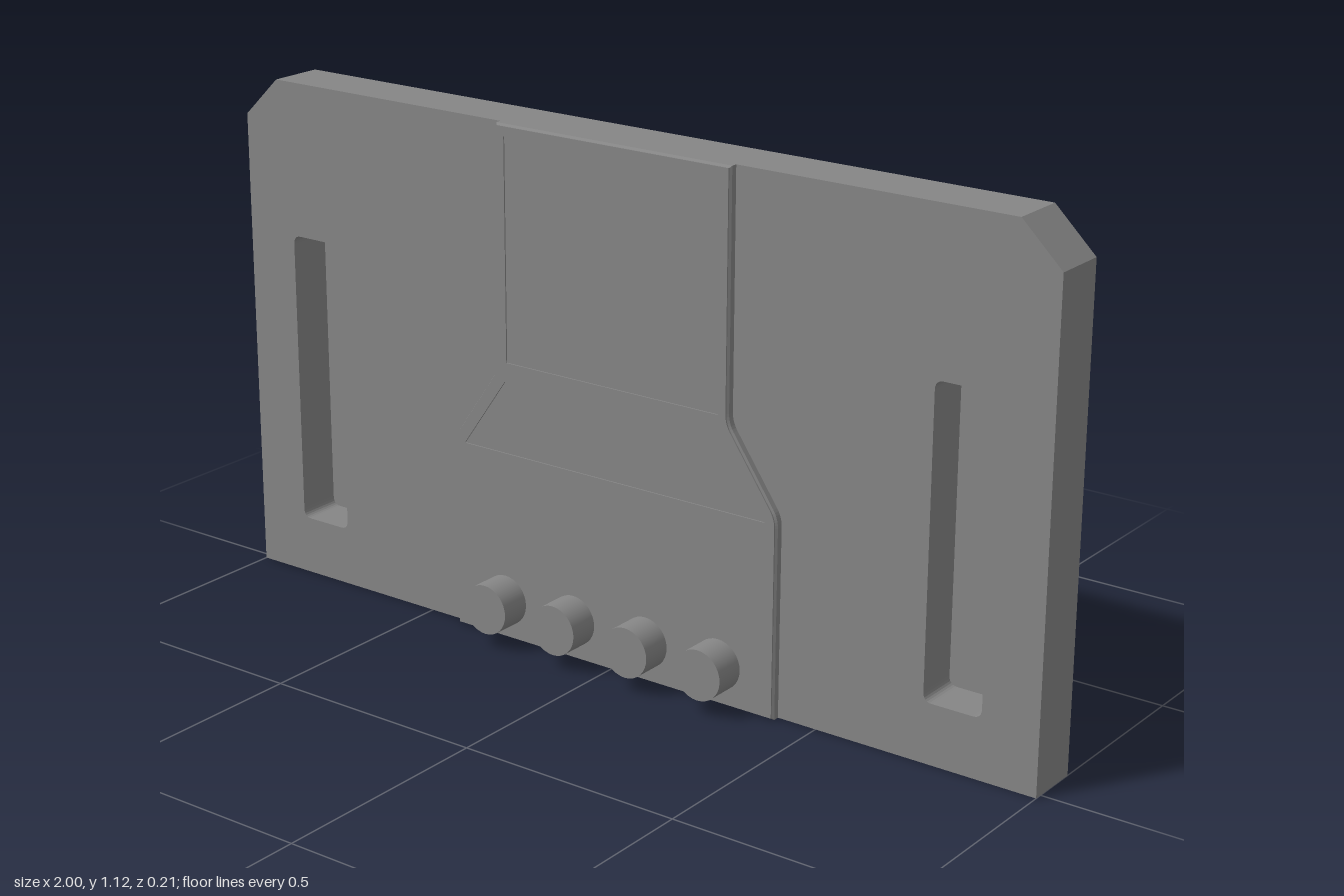
import * as THREE from 'three';

const BACK = -0.105, FRONT = 0.017, PANEL = 0.037, SLOT_FLOOR = -0.08, TOP = 1.125;
const RECESS = 0.003, CHAMFER = 0.004;

// Closed outline from points; corners with a third value are rounded by that distance
function outline(points, Type = THREE.Shape) {
  const path = new Type();
  const n = points.length;
  points.forEach(([x, y, r = 0], i) => {
    const p = new THREE.Vector2(x, y);
    const toward = (q) => new THREE.Vector2(q[0], q[1]).sub(p).setLength(r).add(p);
    const a = toward(points[(i + n - 1) % n]);
    const b = toward(points[(i + 1) % n]);
    if (i === 0) path.moveTo(a.x, a.y); else path.lineTo(a.x, a.y);
    if (r > 0) path.quadraticCurveTo(x, y, b.x, b.y);
  });
  path.closePath();
  return path;
}

// Mirror the right half (listed bottom to top) into a full outline
function symmetric(half) {
  return [...half, ...half.slice().reverse().map(([x, y, r]) => [-x, y, r])];
}

function slotPoints(side) {
  const a = side * 0.81 - 0.065, b = side * 0.81 + 0.065, r = 0.02;
  return [[a, 0.13, r], [b, 0.13, r], [b, 0.785, r], [a, 0.785, r]];
}

// Centre panel outline: narrow at the top, wide at the base
function panelPoints(inset) {
  return symmetric([
    [0.41 - inset, inset], [0.41 - inset, 0.432, 0.02],
    [0.29 - inset, 0.605, 0.02], [0.29 - inset, TOP - inset],
  ]);
}

export function createModel() {
  const group = new THREE.Group();
  const material = new THREE.MeshStandardMaterial({ color: 0x868686 });

  function add(name, geometry) {
    const mesh = new THREE.Mesh(geometry, material);
    mesh.name = name;
    group.add(mesh);
    return mesh;
  }

  // Solid between two depths, with an optional chamfered rim
  function slab(name, shape, z0, z1, bevel = 0) {
    const geometry = new THREE.ExtrudeGeometry(shape, {
      depth: z1 - z0 - 2 * bevel, curveSegments: 6,
      bevelEnabled: bevel > 0, bevelSize: bevel, bevelThickness: bevel,
      bevelOffset: -bevel, bevelSegments: 1,
    });
    geometry.translate(0, 0, z0 + bevel);
    add(name, geometry);
  }

  // Main plate with clipped upper corners and two slots
  const body = outline(symmetric([[1, 0], [1, 1.038], [0.91, TOP]]));
  for (const side of [-1, 1]) body.holes.push(outline(slotPoints(side), THREE.Path));
  slab('body', body, BACK, FRONT);

  // Slot floors close the back
  for (const side of [-1, 1]) {
    slab(side > 0 ? 'leftSlotFloor' : 'rightSlotFloor', outline(slotPoints(side)), BACK, SLOT_FLOOR);
  }

  // Raised centre panel, faced with a thin plate that leaves two shallow recesses
  slab('centrePanel', outline(panelPoints(0)), FRONT - 0.02, PANEL - RECESS, CHAMFER);
  const face = outline(panelPoints(CHAMFER));
  face.holes.push(
    outline(symmetric([[0.267, 0.62], [0.267, 1.1]]), THREE.Path),
    outline(symmetric([[0.383, 0.42], [0.272, 0.578]]), THREE.Path),
  );
  slab('panelFace', face, PANEL - RECESS, PANEL);

  // Row of knobs
  [-0.277, -0.095, 0.092, 0.274].forEach((x, i) => {
    const geometry = new THREE.CylinderGeometry(0.055, 0.055, 0.075, 32);
    geometry.rotateX(Math.PI / 2);
    add('knob' + (i + 1), geometry).position.set(x, 0.088, 0.0695);
  });

  return group;
}
